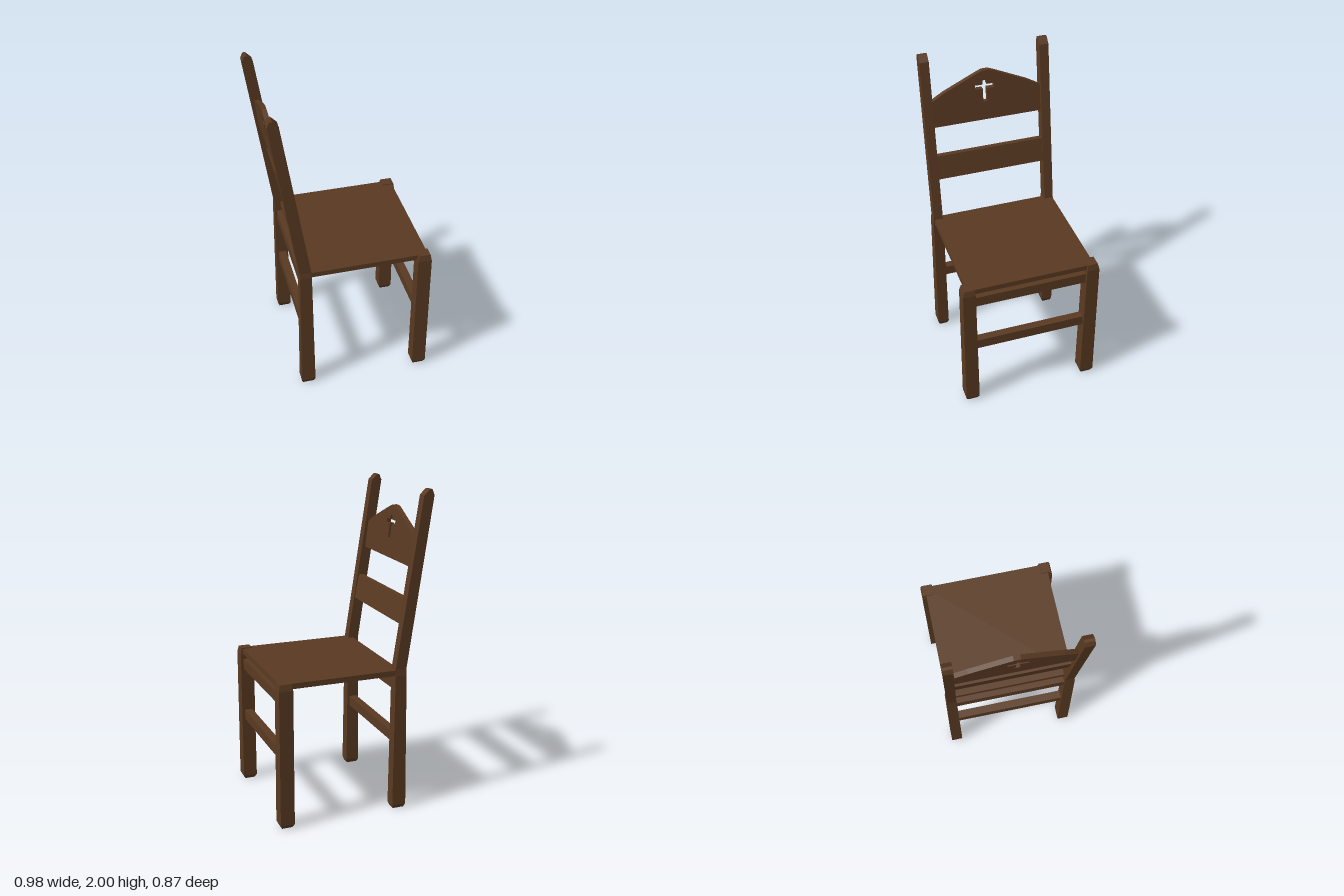
import * as THREE from 'three';

const wood = new THREE.MeshStandardMaterial({ color: 0x5a3a22, flatShading: true });

function mesh(name, geometry) {
  const m = new THREE.Mesh(geometry, wood);
  m.name = name;
  return m;
}

// Rectangular loft through rings [y, x0, x1, z0, z1], listed from bottom to top
function loft(rings) {
  const pos = [];
  const corners = rings.map(([y, x0, x1, z0, z1]) =>
    [[x0, y, z0], [x0, y, z1], [x1, y, z1], [x1, y, z0]]);
  const quad = (a, b, c, d) => pos.push(...a, ...b, ...c, ...a, ...c, ...d);
  for (let i = 0; i < corners.length - 1; i++) {
    const lo = corners[i], hi = corners[i + 1];
    for (let k = 0; k < 4; k++) {
      const n = (k + 1) % 4;
      quad(lo[k], lo[n], hi[n], hi[k]);
    }
  }
  const [a, b, c, d] = corners[0];
  quad(d, c, b, a);
  quad(...corners[corners.length - 1]);
  const g = new THREE.BufferGeometry();
  g.setAttribute('position', new THREE.Float32BufferAttribute(pos, 3));
  g.computeVertexNormals();
  return g;
}

// Place rings written for the +z side on either side
const onSide = (rings, s) => rings.map(([y, x0, x1, z0, z1]) =>
  s > 0 ? [y, x0, x1, z0, z1] : [y, x0, x1, -z1, -z0]);

function box(name, x0, x1, y0, y1, halfZ) {
  const g = new THREE.BoxGeometry(x1 - x0, y1 - y0, halfZ * 2);
  g.translate((x0 + x1) / 2, (y0 + y1) / 2, 0);
  return mesh(name, g);
}

// Board cut from a shape, turned across the chair and leaned back with height
function backBoard(name, shape, backX, baseY, lean, thickness) {
  const g = new THREE.ExtrudeGeometry(shape, { depth: thickness, bevelEnabled: false });
  g.rotateY(Math.PI / 2);
  const p = g.attributes.position;
  for (let i = 0; i < p.count; i++) {
    p.setX(i, p.getX(i) + backX - lean * (p.getY(i) - baseY));
  }
  g.computeVertexNormals();
  return mesh(name, g);
}

const points = (list) => list.map(([x, y]) => new THREE.Vector2(x, y));

export function createModel() {
  const chair = new THREE.Group();
  chair.name = 'chair';

  // Front legs with softened ends
  const frontLeg = [
    [0, 0.41, 0.475, 0.36, 0.42],
    [0.025, 0.398, 0.487, 0.347, 0.435],
    [0.88, 0.398, 0.485, 0.355, 0.434],
    [0.92, 0.406, 0.478, 0.36, 0.424],
  ];
  // Back legs bend at the seat and end in a peaked tip
  const backLeg = [
    [0, -0.337, -0.265, 0.355, 0.41],
    [0.025, -0.347, -0.257, 0.347, 0.42],
    [0.88, -0.339, -0.266, 0.348, 0.413],
    [0.92, -0.339, -0.267, 0.35, 0.408],
    [1.965, -0.494, -0.428, 0.35, 0.408],
    [2, -0.48, -0.463, 0.35, 0.408],
  ];
  for (const [s, side] of [[1, 'left'], [-1, 'right']]) {
    // The chair faces +x, so these names follow the +z and -z sides
    chair.add(mesh(side + 'FrontLeg', loft(onSide(frontLeg, s))));
    chair.add(mesh(side + 'BackLeg', loft(onSide(backLeg, s))));
  }

  // Seat
  chair.add(box('seat', -0.3, 0.468, 0.88, 0.914, 0.405));

  // Two stretchers between each pair of legs
  for (const [pair, x] of [['front', 0.442], ['back', -0.302]]) {
    chair.add(box(pair + 'UpperStretcher', x - 0.025, x + 0.025, 0.78, 0.847, 0.37));
    chair.add(box(pair + 'LowerStretcher', x - 0.025, x + 0.025, 0.43, 0.495, 0.37));
  }

  // Lower back slat
  const slat = new THREE.Shape(points([[-0.36, 1.19], [0.36, 1.19], [0.36, 1.345], [-0.36, 1.345]]));
  chair.add(backBoard('lowerBackSlat', slat, -0.344, 1.19, 0.19, 0.031));

  // Crest board with a peaked top and a cross-shaped cutout
  const half = [[0.36, 1.69], [0.345, 1.703], [0.27, 1.745], [0.05, 1.842], [0.02, 1.853]];
  const crest = new THREE.Shape(points([
    [-0.36, 1.53], [0.36, 1.53], ...half, ...half.map(([x, y]) => [-x, y]).reverse(),
  ]));
  const cx = -0.01, a = 0.013, b = 0.061;
  crest.holes.push(new THREE.Path(points([
    [cx - a, 1.65], [cx - a, 1.736], [cx - b, 1.736], [cx - b, 1.763], [cx - a, 1.763], [cx - a, 1.79],
    [cx + a, 1.79], [cx + a, 1.763], [cx + b, 1.763], [cx + b, 1.736], [cx + a, 1.736], [cx + a, 1.65],
  ])));
  chair.add(backBoard('crestBoard', crest, -0.415, 1.53, 0.12, 0.03));

  return chair;
}
